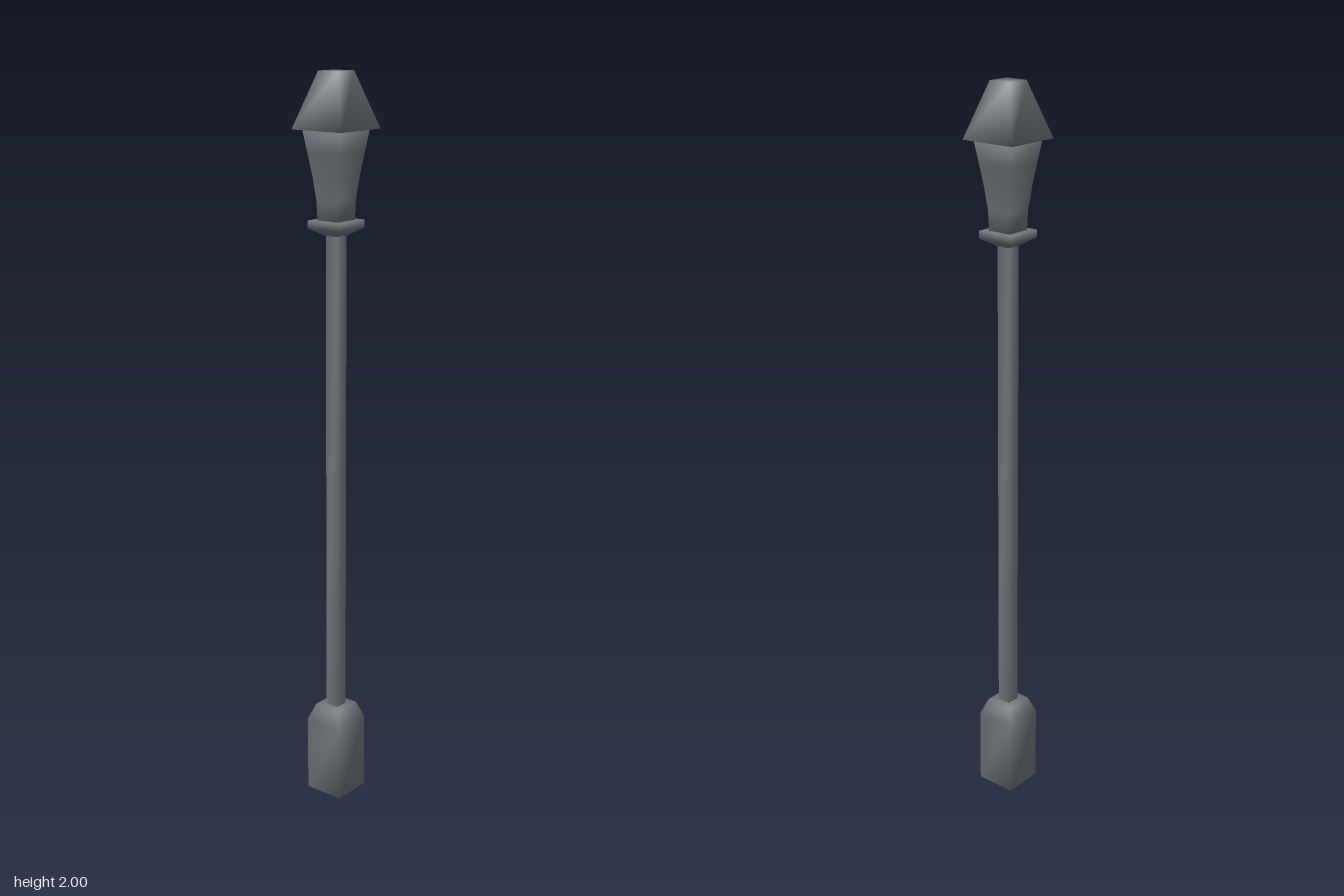
import * as THREE from 'three';

// Lofts square rings [y, halfWidth] from bottom to top, closed at both ends, with shared smooth normals
function squareLoft(profile) {
  const corners = [[1, 1], [1, -1], [-1, -1], [-1, 1]];
  const pos = [], idx = [];
  for (const [y, r] of profile)
    for (const [x, z] of corners) pos.push(x * r, y, z * r);
  for (let k = 0; k < profile.length - 1; k++)
    for (let i = 0; i < 4; i++) {
      const a = k * 4 + i, b = k * 4 + (i + 1) % 4;
      idx.push(a, b, b + 4, a, b + 4, a + 4);
    }
  const t = (profile.length - 1) * 4;
  idx.push(0, 2, 1, 0, 3, 2, t, t + 1, t + 2, t, t + 2, t + 3);
  const geo = new THREE.BufferGeometry();
  geo.setAttribute('position', new THREE.Float32BufferAttribute(pos, 3));
  geo.setIndex(idx);
  geo.computeVertexNormals();
  return geo;
}

export function createModel() {
  const group = new THREE.Group();
  const metal = new THREE.MeshStandardMaterial({ color: 0x70777b });
  metal.name = 'grey metal';

  const parts = {
    // foot block with chamfered shoulders
    base: [[0, 0.057], [0.215, 0.057], [0.26, 0.04]],
    // slim square post
    pole: [[0.255, 0.019], [1.592, 0.019]],
    // flared collar under the lantern
    collar: [[1.588, 0.02], [1.608, 0.052], [1.628, 0.052]],
    // lantern body flaring upward in a gentle curve
    lantern: [[1.627, 0.034], [1.68, 0.036], [1.74, 0.043], [1.8, 0.052], [1.858, 0.061]],
    // hipped roof with a flat top
    roof: [[1.857, 0.08], [2, 0.032]],
  };
  for (const [name, profile] of Object.entries(parts)) {
    const mesh = new THREE.Mesh(squareLoft(profile), metal);
    mesh.name = name;
    group.add(mesh);
  }
  return group;
}
